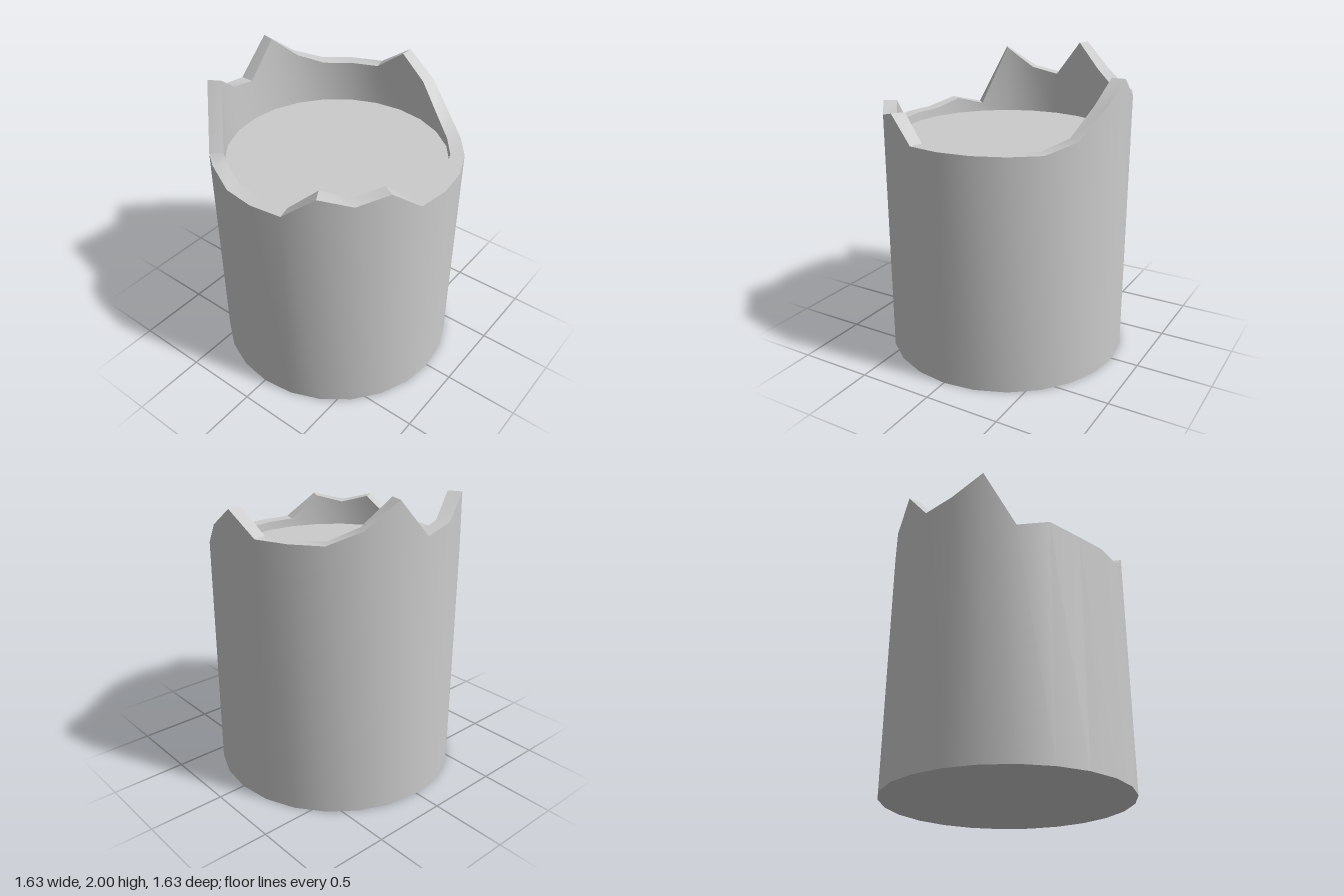
import * as THREE from 'three';
import { toCreasedNormals } from 'three/addons/utils/BufferGeometryUtils.js';

const OUTER = 0.815, INNER = 0.725, FLOOR = 1.47;

// Height of the broken rim at each side, from the front (+z) round through +x
const RIM = [
  1.53, 1.53, 1.53, 1.53, 1.59, 1.76,
  1.90, 1.76, 1.76, 1.76, 1.84, 2.00,
  1.76, 1.80, 1.94, 1.53, 1.58, 1.53,
  1.53, 1.53, 1.69, 1.64, 1.69, 1.53,
];

export function createModel() {
  const group = new THREE.Group();
  group.name = 'brokenColumn';
  const material = new THREE.MeshStandardMaterial({ color: 0xcccccc });

  // Closed profile: base, outer wall, rim, inner wall, sunken floor
  const profile = [
    [0, 0], [OUTER, 0], [OUTER, 1], [INNER, 1], [INNER, FLOOR], [0, FLOOR],
  ].map(([x, y]) => new THREE.Vector2(x, y));
  const geometry = new THREE.LatheGeometry(profile, RIM.length);

  // Raise the two rim rings to the jagged heights
  const position = geometry.attributes.position;
  for (let i = 0; i <= RIM.length; i++) {
    for (const ring of [2, 3]) {
      position.setY(i * profile.length + ring, RIM[i % RIM.length]);
    }
  }

  const column = new THREE.Mesh(toCreasedNormals(geometry, 0.6), material);
  column.name = 'columnStump';
  group.add(column);
  return group;
}
